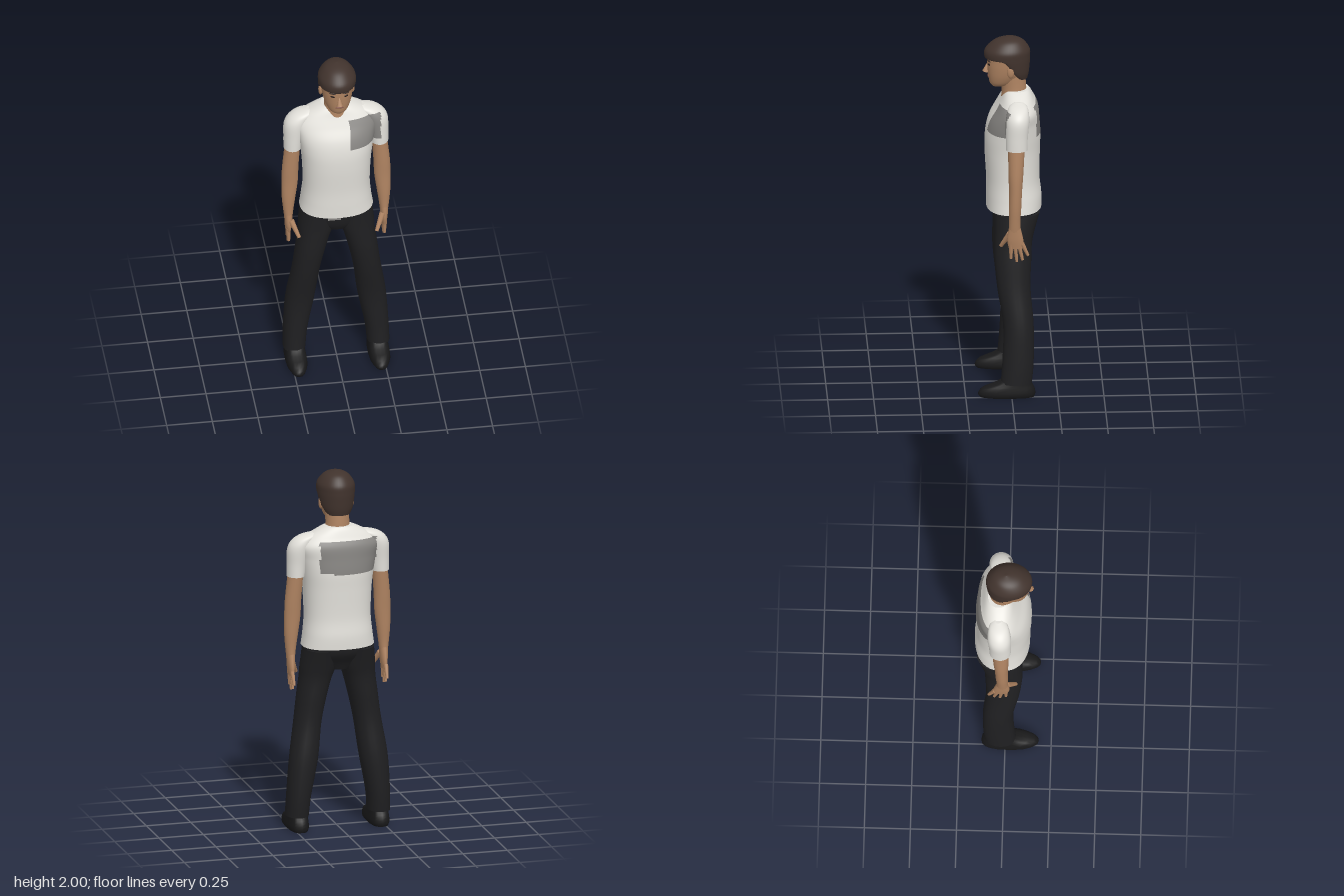
import * as THREE from 'three';

const mat = (name, color) => Object.assign(new THREE.MeshStandardMaterial({ color }), { name });

// Closed loft through horizontal oval sections [y, cx, cz, rx, rz], listed from bottom to top.
// p < 1 makes the ovals squarer; warp moves vertices; isSecond picks faces for the second material.
function loft(sections, { n = 28, sub = 4, p = 1, side = 1, warp, isSecond } = {}) {
  const rows = [];
  const at = i => sections[Math.min(sections.length - 1, Math.max(0, i))];
  for (let i = 0; i < sections.length - 1; i++) {
    for (let k = 0; k < sub; k++) {
      const t = k / sub;
      rows.push(at(i).map((b, j) => {
        const a = at(i - 1)[j], c = at(i + 1)[j], d = at(i + 2)[j];
        return b + 0.5 * t * (c - a + t * (2 * a - 5 * b + 4 * c - d + t * (3 * (b - c) + d - a)));
      }));
    }
  }
  rows.push(at(sections.length));

  const pow = v => Math.sign(v) * Math.abs(v) ** p;
  const pts = rows.map(([y, cx, cz, rx, rz]) => Array.from({ length: n }, (_, i) => {
    const a = i / n * Math.PI * 2;
    const v = new THREE.Vector3(side * cx + rx * pow(Math.cos(a)), y, cz + rz * pow(Math.sin(a)));
    if (warp) warp(v);
    return v;
  }));
  const pos = pts.flat().flatMap(v => v.toArray());
  const lists = [[], []];
  const mid = new THREE.Vector3();
  for (let r = 0; r < rows.length - 1; r++) {
    for (let i = 0; i < n; i++) {
      const j = (i + 1) % n;
      const a = r * n + i, b = r * n + j, c = a + n, d = b + n;
      mid.addVectors(pts[r][i], pts[r + 1][j]).multiplyScalar(0.5);
      lists[isSecond && isSecond(mid) ? 1 : 0].push(a, c, b, b, c, d);
    }
  }
  // End caps use their own vertices so that the rims stay sharp
  [0, rows.length - 1].forEach((r, top) => {
    const start = pos.length / 3;
    const centre = pts[r].reduce((s, v) => s.add(v), new THREE.Vector3()).divideScalar(n);
    pos.push(...centre.toArray(), ...pts[r].flatMap(v => v.toArray()));
    for (let i = 0; i < n; i++) {
      const a = start + 1 + i, b = start + 1 + (i + 1) % n;
      lists[0].push(start, top ? b : a, top ? a : b);
    }
  });
  const g = new THREE.BufferGeometry();
  g.setAttribute('position', new THREE.Float32BufferAttribute(pos, 3));
  g.setIndex(lists.flat());
  g.addGroup(0, lists[0].length, 0);
  if (lists[1].length) g.addGroup(lists[0].length, lists[1].length, 1);
  g.computeVertexNormals();
  return g;
}

export function createModel() {
  const model = new THREE.Group();
  const skin = mat('skin', 0xb08462), hair = mat('hair', 0x41332d), cloth = mat('shirt white', 0xe2e0da);
  const grey = mat('shirt grey', 0x878582), black = mat('trouser black', 0x1f1f21);
  const shoeBlack = mat('shoe black', 0x19191a), dark = mat('eye dark', 0x2a1c17), lip = mat('lip', 0x85574a);
  const add = (name, geometry, material, parent = model) => {
    const m = new THREE.Mesh(geometry, material);
    m.name = name;
    parent.add(m);
    return m;
  };
  const ellipsoid = (name, material, x, y, z, sx, sy, sz) => {
    const m = add(name, new THREE.SphereGeometry(1, 14, 10), material);
    m.position.set(x, y, z);
    m.scale.set(sx, sy, sz);
    return m;
  };

  // Shirt with a grey panel on the chest and another across the back
  const panel = v => (v.z > 0 && v.x > 0.056 && v.x < 0.24 && v.y > 1.48 && v.y < 1.635)
    || (v.z < -0.08 && v.x > -0.2 && v.x < 0.13 && v.y > 1.45 + 0.1 * Math.max(0, v.x) && v.y < 1.635);
  add('shirt', loft([
    [1.03, 0, -0.02, 0.2, 0.15], [1.1, 0, -0.02, 0.19, 0.15], [1.2, 0, -0.015, 0.182, 0.145],
    [1.35, 0, -0.012, 0.188, 0.15], [1.45, 0, -0.015, 0.2, 0.15], [1.53, 0, -0.022, 0.213, 0.138],
    [1.6, 0, -0.038, 0.222, 0.115], [1.65, 0, -0.04, 0.18, 0.09], [1.685, 0, -0.04, 0.12, 0.073],
    [1.703, 0, -0.04, 0.08, 0.06],
  ], { n: 80, sub: 8, p: 0.86, isSecond: panel }), [cloth, grey]);

  // Trouser seat and shirt tail
  add('trouserSeat', loft([
    [0.9, 0, -0.02, 0.09, 0.08], [0.94, 0, -0.02, 0.16, 0.1], [1.0, 0, -0.032, 0.197, 0.125],
    [1.06, 0, -0.035, 0.19, 0.13],
  ], { p: 0.9 }), black);
  const tail = add('shirtTail', new THREE.BoxGeometry(0.07, 0.04, 0.008), grey);
  tail.position.set(-0.025, 1.016, 0.098);

  for (const side of [1, -1]) {
    const label = side > 0 ? 'left' : 'right';
    // Sleeve and bare arm
    add(label + 'Sleeve', loft([
      [1.43, 0.238, -0.027, 0.049, 0.058], [1.5, 0.232, -0.028, 0.055, 0.06],
      [1.58, 0.22, -0.032, 0.065, 0.064], [1.625, 0.2, -0.035, 0.064, 0.06],
      [1.655, 0.17, -0.038, 0.052, 0.048], [1.672, 0.14, -0.04, 0.02, 0.02],
    ], { n: 40, sub: 6, side, isSecond: panel }), [cloth, grey]);
    add(label + 'Arm', loft([
      [0.96, 0.262, -0.015, 0.022, 0.032], [1.02, 0.262, -0.015, 0.029, 0.031],
      [1.1, 0.26, -0.017, 0.038, 0.034], [1.2, 0.254, -0.02, 0.045, 0.036],
      [1.3, 0.25, -0.022, 0.045, 0.041], [1.46, 0.236, -0.026, 0.042, 0.046],
    ], { n: 18, side }), skin);

    // Hand with four spread fingers and a thumb
    const hand = new THREE.Group();
    hand.name = label + 'Hand';
    model.add(hand);
    add('palm', loft([
      [0.87, 0.262, -0.025, 0.014, 0.042], [0.92, 0.262, -0.018, 0.02, 0.044],
      [0.99, 0.262, -0.015, 0.024, 0.031],
    ], { n: 16, side }), skin, hand);
    const digit = (name, r, ...points) => {
      const [a, b] = points.map(([x, y, z]) => new THREE.Vector3(side * x, y, z));
      const dir = b.clone().sub(a);
      const m = add(name, new THREE.CylinderGeometry(r * 0.6, r, dir.length(), 8), skin, hand);
      m.position.copy(a).add(b).multiplyScalar(0.5);
      m.quaternion.setFromUnitVectors(new THREE.Vector3(0, 1, 0), dir.normalize());
    };
    [[0.005, 0.005, 0.81], [-0.016, -0.027, 0.79], [-0.036, -0.058, 0.8], [-0.055, -0.088, 0.825]]
      .forEach(([z0, z1, y]) => digit('finger', 0.013, [0.264, 0.895, z0], [0.262, y, z1]));
    digit('thumb', 0.017, [0.25, 0.95, 0.01], [0.212, 0.865, 0.058]);

    // Trouser leg
    add(label + 'TrouserLeg', loft([
      [0.08, 0.23, -0.025, 0.062, 0.085], [0.2, 0.222, -0.035, 0.066, 0.085],
      [0.4, 0.196, -0.038, 0.078, 0.083], [0.6, 0.168, -0.015, 0.075, 0.09],
      [0.75, 0.143, -0.01, 0.081, 0.1], [0.85, 0.123, -0.012, 0.088, 0.103],
      [0.92, 0.109, -0.02, 0.098, 0.11], [1.02, 0.1, -0.033, 0.096, 0.125],
    ], { n: 24, side, p: 0.92 }), black);

    // Shoe, narrowing and sloping down to a blunt toe
    add(label + 'Shoe', loft([
      [0, 0.227, 0.025, 0.05, 0.148], [0.018, 0.227, 0.027, 0.059, 0.156],
      [0.05, 0.227, 0.018, 0.056, 0.142], [0.075, 0.227, -0.01, 0.052, 0.1],
      [0.1, 0.227, -0.025, 0.05, 0.075],
    ], { n: 20, sub: 2, side, p: 0.72, warp: v => {
      if (v.z > 0.08) v.x -= (v.x - side * 0.222) * (v.z - 0.08) * 2.5;
    } }), shoeBlack);

    // Ear, eye and brow
    ellipsoid(label + 'Ear', skin, side * 0.088, 1.823, 0, 0.012, 0.035, 0.02);
    const eye = ellipsoid(label + 'Eye', dark, side * 0.037, 1.851, 0.115, 0.013, 0.006, 0.004);
    const brow = ellipsoid(label + 'Brow', hair, side * 0.038, 1.872, 0.116, 0.02, 0.005, 0.004);
    eye.rotation.y = brow.rotation.y = side * 0.4;
  }

  // Neck and head
  add('neck', loft([
    [1.64, 0, -0.02, 0.08, 0.07], [1.7, 0, -0.022, 0.066, 0.067], [1.79, 0, -0.012, 0.066, 0.07],
  ]), skin);
  add('head', loft([
    [1.717, 0, 0.062, 0.025, 0.032], [1.735, 0, 0.046, 0.052, 0.063], [1.77, 0, 0.029, 0.07, 0.088],
    [1.81, 0, 0.016, 0.081, 0.106], [1.86, 0, 0.01, 0.087, 0.115], [1.92, 0, 0.01, 0.086, 0.112],
    [1.96, 0, 0, 0.05, 0.07],
  ], { n: 32, p: 0.93 }), skin);
  const nose = add('nose', new THREE.ConeGeometry(0.018, 0.06, 8), skin);
  nose.position.set(0, 1.828, 0.126);
  nose.rotation.x = -0.22;
  ellipsoid('mouth', lip, 0, 1.776, 0.118, 0.024, 0.006, 0.004);

  // Hair cap whose lower edge rises from the nape to the forehead
  add('hair', loft([
    [1.765, 0, -0.035, 0.066, 0.06], [1.8, 0, -0.008, 0.088, 0.095], [1.85, 0, 0.008, 0.099, 0.116],
    [1.89, 0, 0.015, 0.103, 0.125], [1.93, 0, 0.014, 0.1, 0.121], [1.97, 0, 0.008, 0.073, 0.088],
    [1.99, 0, 0.003, 0.043, 0.052], [2, 0, 0, 0.004, 0.004],
  ], { n: 40, sub: 5, warp: v => {
    v.y = Math.max(v.y, 1.765 + 0.12 * THREE.MathUtils.smoothstep(v.z, -0.07, 0.05));
  } }), hair);
  return model;
}
